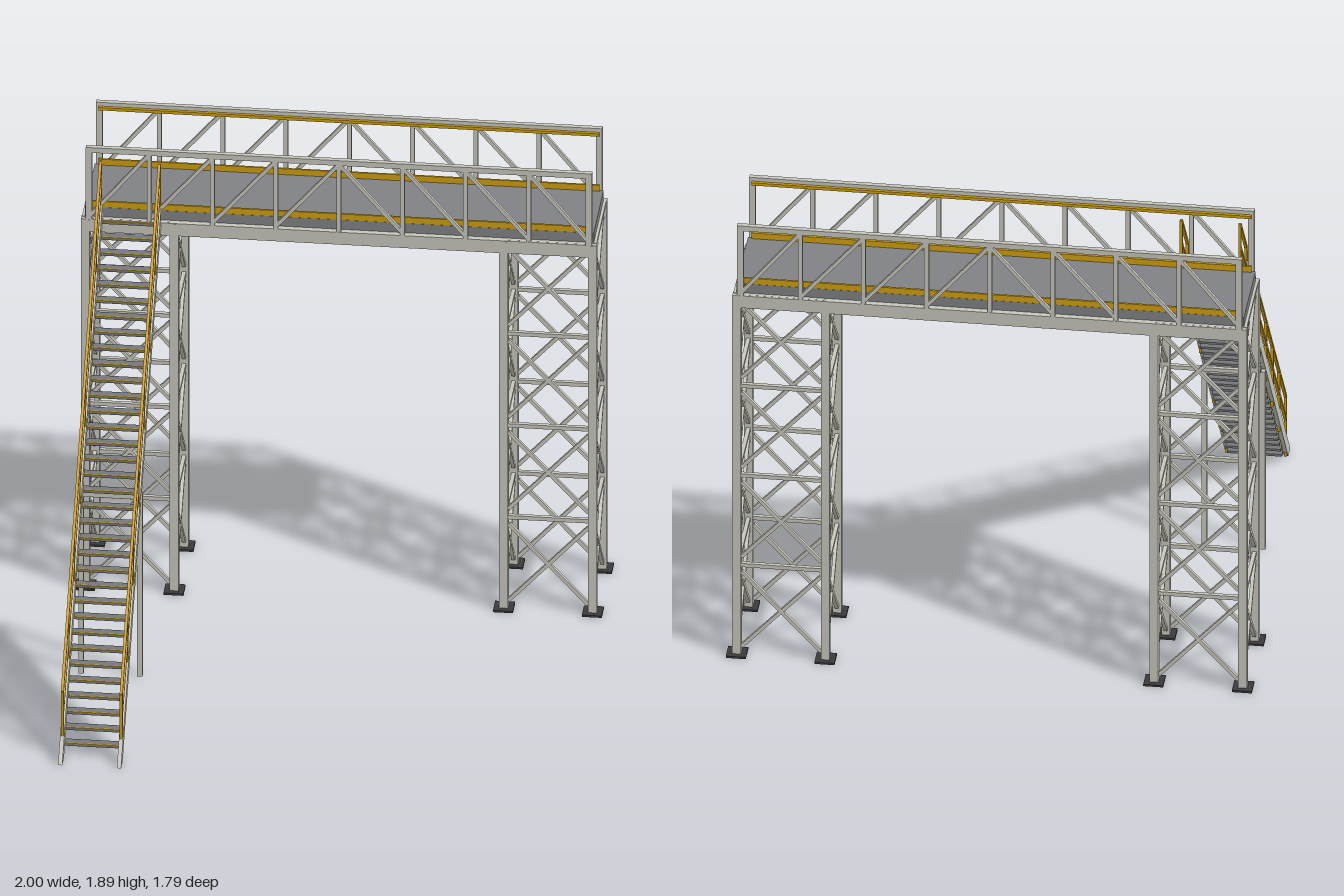
import * as THREE from 'three';

const mat = (color) => new THREE.MeshStandardMaterial({ color });
const steel = mat(0xc8c7bd);
const deckGrey = mat(0x808285);
const treadGrey = mat(0x77787a);
const yellow = mat(0xd0a010);
const dark = mat(0x3a3a3c);

function box(parent, name, material, w, h, d, x, y, z) {
  const mesh = new THREE.Mesh(new THREE.BoxGeometry(w, h, d), material);
  mesh.position.set(x, y, z);
  mesh.name = name;
  parent.add(mesh);
  return mesh;
}

// Straight square bar between two points
function bar(parent, name, material, a, b, w) {
  const from = new THREE.Vector3(...a), to = new THREE.Vector3(...b);
  const mesh = new THREE.Mesh(new THREE.BoxGeometry(w, w, from.distanceTo(to)), material);
  mesh.position.copy(from).add(to).multiplyScalar(0.5);
  mesh.lookAt(to);
  mesh.name = name;
  parent.add(mesh);
}

function group(parent, name) {
  const g = new THREE.Group();
  g.name = name;
  parent.add(g);
  return g;
}

const Z_FRONT = -0.512, Z_BACK = -0.857, Z_MID = -0.685;

// Four-legged braced tower; side is -1 or 1
function addTower(parent, side) {
  const tower = group(parent, side > 0 ? 'leftTower' : 'rightTower');
  const x0 = side * 0.625, x1 = side * 0.962;
  const corners = [[x0, Z_FRONT], [x1, Z_FRONT], [x1, Z_BACK], [x0, Z_BACK]];
  const panel = 0.395;
  corners.forEach(([x, z], i) => {
    box(tower, 'towerPost', steel, 0.033, 1.585, 0.033, x, 0.7925, z);
    box(tower, 'basePlate', dark, 0.076, 0.008, 0.076, x, 0.004, z);
    const [nx, nz] = corners[(i + 1) % 4];
    // Brace ends sit at the inner faces of the posts
    const t = 0.05;
    const a = [x + (nx - x) * t, z + (nz - z) * t];
    const b = [nx + (x - nx) * t, nz + (z - nz) * t];
    for (let k = 0; k < 4; k++) {
      const low = k * panel + 0.035, high = (k + 1) * panel - 0.03, top = (k + 1) * panel;
      bar(tower, 'crossBrace', steel, [a[0], low, a[1]], [b[0], high, b[1]], 0.014);
      bar(tower, 'crossBrace', steel, [a[0], high, a[1]], [b[0], low, b[1]], 0.014);
      bar(tower, 'tieBar', steel, [x, top, z], [nx, top, nz], 0.016);
    }
  });
}

// Truss parapet with toe board and handrail; dir is 1 at the front, -1 at the back
function addParapet(parent, dir) {
  const side = group(parent, dir > 0 ? 'frontParapet' : 'backParapet');
  const z = Z_MID + dir * 0.178;
  box(side, 'mainBeam', steel, 1.955, 0.053, 0.033, 0, 1.561, Z_MID + dir * 0.172);
  box(side, 'topChord', steel, 1.92, 0.022, 0.02, 0, 1.884, z);
  box(side, 'handrail', yellow, 1.9, 0.012, 0.012, 0, 1.873, z - dir * 0.016);
  box(side, 'toeBoard', yellow, 1.9, 0.03, 0.008, 0, 1.64, z - dir * 0.014);
  const xs = [0, 0.24, 0.48, 0.72, 0.948];
  xs.forEach((x, i) => {
    for (const s of i ? [-1, 1] : [1]) {
      const w = i === 4 ? 0.024 : 0.017;
      box(side, 'parapetPost', steel, w, 0.3, 0.02, s * x, 1.735, z);
      if (i) bar(side, 'parapetDiagonal', steel, [s * xs[i - 1], 1.875, z], [s * x, 1.595, z], 0.014);
    }
  });
}

function addStairs(parent) {
  const stairs = group(parent, 'stairs');
  const xs = [-0.905, -0.682], xMid = -0.7935;
  const slope = 1.187, foot = 0.893, topZ = -0.497, depth = 0.07;
  const underZ = (y) => foot - (y + depth) / slope;

  // Sloping stringers, drawn in the z-y plane
  const topY = (foot - topZ) * slope;
  const profile = new THREE.Shape([
    new THREE.Vector2(-foot, 0),
    new THREE.Vector2(-underZ(0), 0),
    new THREE.Vector2(-topZ, topY - depth),
    new THREE.Vector2(-topZ, topY),
  ]);
  for (const x of xs) {
    const geo = new THREE.ExtrudeGeometry(profile, { depth: 0.016, bevelEnabled: false });
    geo.translate(0, 0, -0.008).rotateY(Math.PI / 2);
    const stringer = new THREE.Mesh(geo, steel);
    stringer.position.x = x;
    stringer.name = 'stringer';
    stairs.add(stringer);
  }

  // Treads with yellow nosings
  const rise = 1.63 / 35;
  for (let i = 1; i < 35; i++) {
    const y = i * rise, z = underZ(y) - 0.009;
    box(stairs, 'tread', treadGrey, 0.21, 0.009, 0.04, xMid, y - 0.005, z);
    box(stairs, 'treadNosing', yellow, 0.208, 0.003, 0.006, xMid, y, z + 0.017);
  }

  // Railings
  const railY = (z) => 0.275 + (0.815 - z) * 1.173;
  const endZ = -0.511;
  for (const x of xs) {
    for (const drop of [0, 0.1]) {
      bar(stairs, drop ? 'stairMidRail' : 'stairHandrail', yellow,
        [x, railY(0.815) - drop, 0.815], [x, railY(endZ) - drop, endZ], 0.011);
    }
    for (let i = 0; i < 8; i++) {
      const z = Math.max(0.815 - i * 0.192, endZ);
      box(stairs, 'stairRailPost', yellow, 0.011, 0.262, 0.011, x, railY(z) - 0.131, z);
    }
    box(stairs, 'stairSupportPost', steel, 0.02, 0.775, 0.022, x, 0.3875, 0.16);
  }
  box(stairs, 'stairSupportBeam', steel, 0.243, 0.022, 0.022, xMid, 0.772, 0.16);
}

export function createModel() {
  const model = new THREE.Group();
  model.name = 'footbridge';
  for (const s of [-1, 1]) {
    addTower(model, s);
    addParapet(model, s);
    box(model, 'endBeam', steel, 0.016, 0.016, 0.345, s * 0.968, 1.582, Z_MID);
  }
  box(model, 'deck', deckGrey, 1.93, 0.04, 0.338, 0, 1.61, Z_MID);
  box(model, 'deckUnderside', dark, 1.92, 0.006, 0.325, 0, 1.588, Z_MID);
  addStairs(model);
  return model;
}
